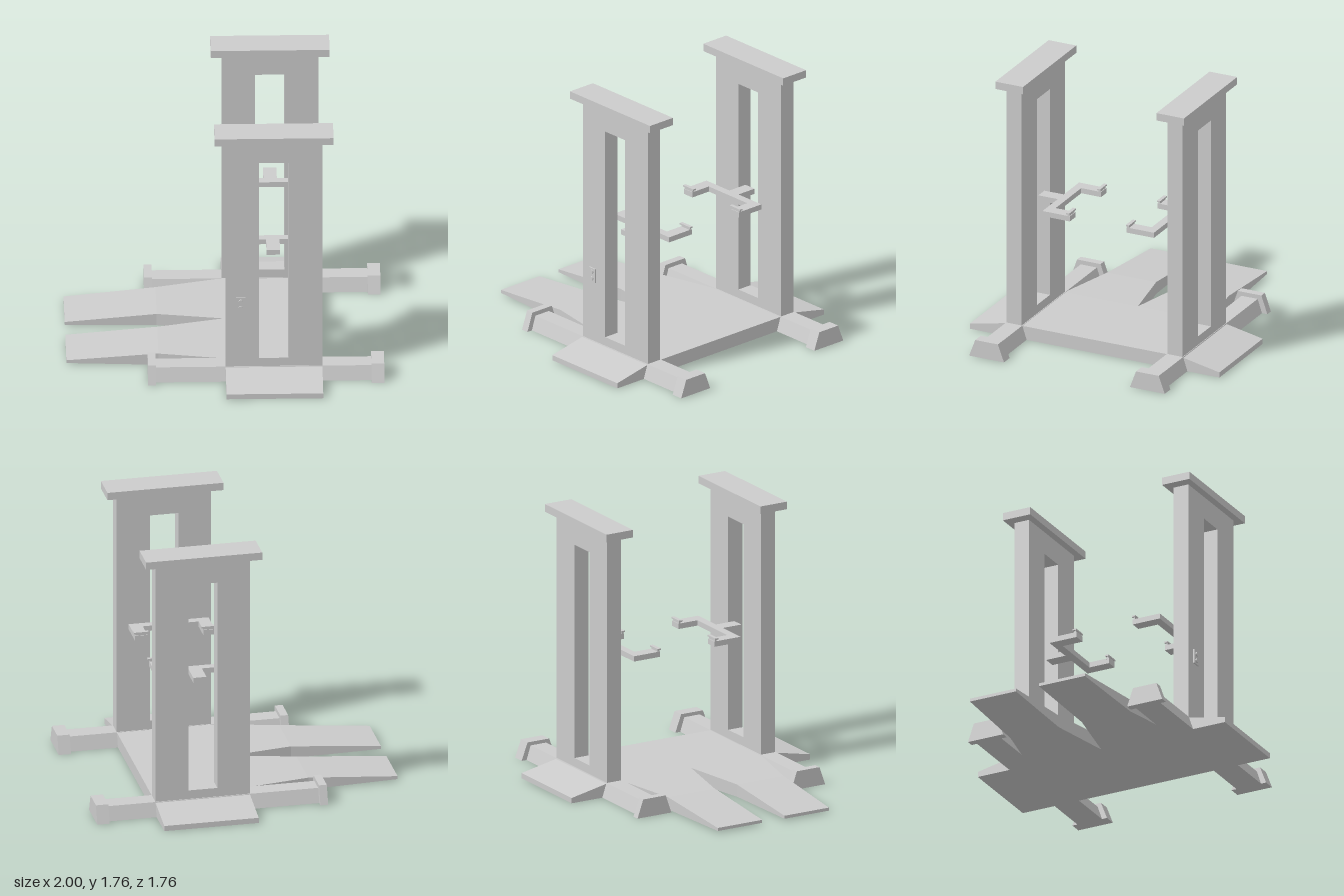
import * as THREE from 'three';

const material = new THREE.MeshStandardMaterial({ color: 0xcccccc, flatShading: true });

function add(parent, name, geometry) {
  const mesh = new THREE.Mesh(geometry, material);
  mesh.name = name;
  parent.add(mesh);
  return mesh;
}

// Box given by its limits on each axis
function box(parent, name, [x0, x1], [y0, y1], [z0, z1]) {
  const mesh = add(parent, name, new THREE.BoxGeometry(x1 - x0, y1 - y0, z1 - z0));
  mesh.position.set((x0 + x1) / 2, (y0 + y1) / 2, (z0 + z1) / 2);
  return mesh;
}

const polygon = (points) => new THREE.Shape(points.map(([a, b]) => new THREE.Vector2(a, b)));

const extrude = (shape, depth) => new THREE.ExtrudeGeometry(shape, { depth, bevelEnabled: false });

// Extrude a (z, y) profile along x from x0 to x1
function profileAlongX(parent, name, points, x0, x1) {
  const geometry = extrude(polygon(points.map(([z, y]) => [-z, y])), x1 - x0);
  geometry.rotateY(Math.PI / 2);
  geometry.translate(x0, 0, 0);
  return add(parent, name, geometry);
}

// Trapezoid bar along x, centred on z
function trapezoid(parent, name, z, halfBottom, halfTop, height, x0, x1) {
  return profileAlongX(parent, name, [
    [z - halfBottom, 0], [z + halfBottom, 0], [z + halfTop, height], [z - halfTop, height],
  ], x0, x1);
}

// Approach ramp lofted through rectangular sections [x, inner z, outer z, top y]
function rampGeometry(side) {
  const sections = [[0, 0, 0.515, 0.09], [-0.42, 0.082, 0.427, 0.081], [-1, 0.082, 0.41, 0.03]];
  const rings = sections.map(([x, a, b, top]) => {
    const [lo, hi] = side > 0 ? [a, b] : [-b, -a];
    const base = x === -1 ? 0.01 : 0;
    return [[x, base, lo], [x, base, hi], [x, top, hi], [x, top, lo]];
  });
  const vertices = [];
  const quad = (a, b, c, d) => vertices.push(...a, ...b, ...c, ...a, ...c, ...d);
  for (let i = 0; i < rings.length - 1; i++) {
    for (let j = 0; j < 4; j++) {
      const k = (j + 1) % 4;
      quad(rings[i][j], rings[i][k], rings[i + 1][k], rings[i + 1][j]);
    }
  }
  const [first, last] = [rings[0], rings[rings.length - 1]];
  quad(first[3], first[2], first[1], first[0]);
  quad(...last);
  const geometry = new THREE.BufferGeometry();
  geometry.setAttribute('position', new THREE.Float32BufferAttribute(vertices, 3));
  geometry.computeVertexNormals();
  return geometry;
}

// Upright with its long slot, and the cap on top
function addTower(parent, side) {
  const tower = new THREE.Group();
  tower.name = 'tower';
  const outline = polygon([[0, 0.02], [0.61, 0.02], [0.61, 1.71], [0, 1.71]]);
  outline.holes.push(polygon([[0.21, 0.15], [0.21, 1.56], [0.395, 1.56], [0.395, 0.15]]));
  const upright = add(tower, 'upright', extrude(outline, 0.105));
  upright.position.z = side * 0.5675 - 0.0525;
  const cap = box(tower, 'towerCap', [-0.07, 0.68], [1.71, 1.76], [0.47, 0.665]);
  cap.position.z *= side;
  parent.add(tower);
}

// Forked lifting arm with a small T-shaped lip on each tip
function addLiftArm(parent, side) {
  const arm = new THREE.Group();
  arm.name = 'liftArm';
  const fork = polygon([
    [0.045, 0.2], [0.12, 0.2], [0.12, 0.34], [0.48, 0.34], [0.48, 0.2], [0.56, 0.2],
    [0.56, 0.393], [0.345, 0.393], [0.345, 0.53], [0.26, 0.53], [0.26, 0.393], [0.045, 0.393],
  ]);
  const geometry = extrude(fork, 0.035);
  geometry.rotateX(Math.PI / 2);
  geometry.translate(0, 0.88, 0);
  add(arm, 'fork', geometry);
  for (const x of [0.0825, 0.52]) {
    box(arm, 'lipStem', [x - 0.038, x + 0.038], [0.875, 0.895], [0.205, 0.217]);
    box(arm, 'lipTop', [x - 0.048, x + 0.048], [0.892, 0.902], [0.2, 0.223]);
  }
  // The fork spans x = 0.045 to 0.56, so a half turn about x = 0.3025 mirrors it
  if (side < 0) {
    arm.rotation.y = Math.PI;
    arm.position.x = 0.605;
  }
  parent.add(arm);
}

// Floor beam with a wider block at each end
function addFoot(parent, side) {
  const foot = new THREE.Group();
  foot.name = 'foot';
  const z = side * 0.567;
  trapezoid(foot, 'footBeam', z, 0.087, 0.057, 0.092, -0.46, 0.94);
  trapezoid(foot, 'footEndBack', z, 0.125, 0.083, 0.12, -0.49, -0.44);
  trapezoid(foot, 'footEndFront', z, 0.123, 0.08, 0.115, 0.92, 1);
  parent.add(foot);
}

export function createModel() {
  const model = new THREE.Group();
  model.name = 'vehicleLift';

  // Platform with a sloped apron at either side
  profileAlongX(model, 'platform', [
    [-0.88, 0], [0.88, 0], [0.88, 0.035], [0.61, 0.09], [-0.61, 0.09], [-0.88, 0.035],
  ], 0, 0.61);

  for (const side of [1, -1]) {
    add(model, 'approachRamp', rampGeometry(side));
    addTower(model, side);
    addLiftArm(model, side);
    addFoot(model, side);
  }

  // Control panel with two push buttons
  const panel = new THREE.Group();
  panel.name = 'controlPanel';
  box(panel, 'panelPlate', [0.065, 0.125], [0.495, 0.59], [0.615, 0.629]);
  for (const y of [0.52, 0.565]) {
    const button = add(panel, 'button', new THREE.CylinderGeometry(0.014, 0.014, 0.012, 16));
    button.rotation.x = Math.PI / 2;
    button.position.set(0.095, y, 0.631);
  }
  model.add(panel);

  return model;
}
